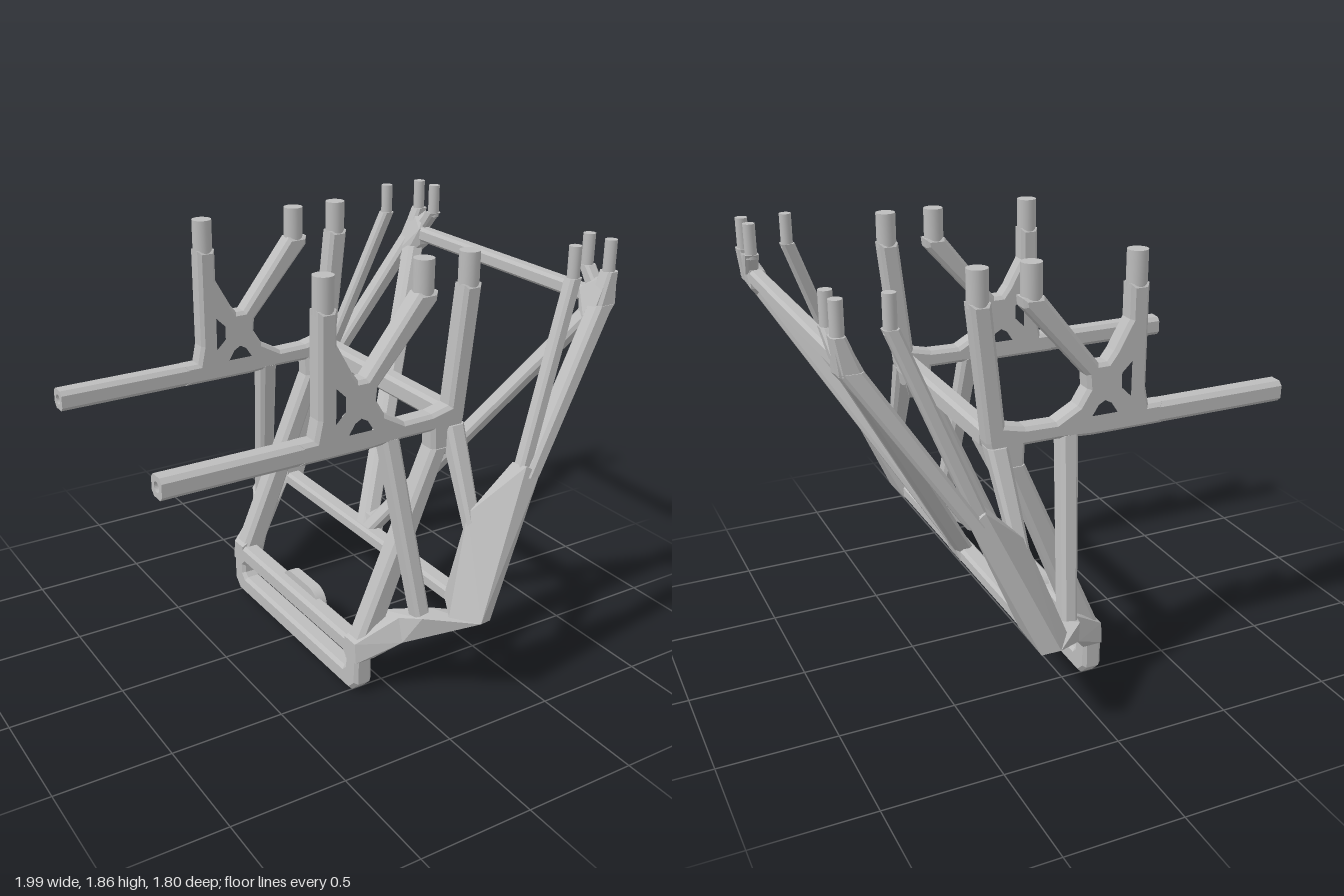
import * as THREE from 'three';
import { ConvexGeometry } from 'three/addons/geometries/ConvexGeometry.js';

const V = (x, y, z) => new THREE.Vector3(x, y, z);
const poly = (pts, Type = THREE.Shape) => new Type(pts.map(p => new THREE.Vector2(...p)));

// chamfered rectangle of half sizes a and b
function chamfered(a, b, c = Math.min(a, b) * 0.4) {
  return [[a, b - c], [a - c, b], [c - a, b], [-a, b - c], [-a, c - b], [c - a, -b], [a - c, -b], [a, c - b]];
}

// eight-sided section around p: flat for upright members, facing z for cross bars
function ring(p, a, b, facing = 'y') {
  return chamfered(a, b).map(([u, v]) =>
    facing === 'y' ? V(p[0] + u, p[1], p[2] + v) : V(p[0] + u, p[1] + v, p[2]));
}

export function createModel() {
  const model = new THREE.Group();
  const grey = new THREE.MeshStandardMaterial({ color: 0xbcbcbc });
  grey.name = 'frame grey';

  const add = (name, geo, parent = model) => {
    const m = new THREE.Mesh(geo, grey);
    m.name = name;
    parent.add(m);
    return m;
  };
  const bevel = (depth, b) => ({
    depth: depth - 2 * b, bevelEnabled: true, bevelSegments: 1,
    bevelSize: b, bevelThickness: b, bevelOffset: -b,
  });

  // side plate: three upright arms above the rail
  const plate = poly([
    [-0.42, 1.13], [-0.42, 1.22], [-0.355, 1.22], [-0.338, 1.3], [-0.338, 1.73], [-0.257, 1.73],
    [-0.257, 1.59], [-0.19, 1.47], [-0.16, 1.43], [-0.122, 1.43], [0.115, 1.73],
    [0.205, 1.73], [0.2, 1.69], [-0.07, 1.385], [-0.075, 1.33], [-0.035, 1.265], [0.06, 1.212], [0.195, 1.215],
    [0.28, 1.235], [0.333, 1.73], [0.417, 1.73], [0.357, 1.17], [0.335, 1.07], [0.29, 1.02],
    [0.2, 1.03], [0.195, 1.14], [0.05, 1.14], [-0.1, 1.13],
  ]);
  plate.holes.push(
    poly([[-0.275, 1.44], [-0.207, 1.385], [-0.207, 1.31], [-0.275, 1.255]], THREE.Path),
    poly([[-0.225, 1.205], [-0.19, 1.27], [-0.15, 1.292], [-0.11, 1.27], [-0.075, 1.205]], THREE.Path),
  );
  const plateGeo = new THREE.ExtrudeGeometry(plate, bevel(0.09, 0.015));

  // hollow rail running back from the plate
  const railShape = poly(chamfered(0.045, 0.045));
  railShape.holes.push(new THREE.Path().absarc(0, 0, 0.022, 0, Math.PI * 2, true));
  const railGeo = new THREE.ExtrudeGeometry(railShape, { depth: 0.6, bevelEnabled: false });
  railGeo.rotateY(Math.PI / 2);

  for (const s of [1, -1]) {
    const side = new THREE.Group();
    side.name = s > 0 ? 'leftSide' : 'rightSide';
    model.add(side);
    const hull = (name, pts) => add(name, new ConvexGeometry(pts.map(p => V(p.x, p.y, p.z * s))), side);
    const strut = (name, p, q, a, b = a, c = a, d = b) => hull(name, [...ring(p, a, b), ...ring(q, c, d)]);
    const peg = (name, x, z, r) =>
      add(name, new THREE.CylinderGeometry(r, r, 0.15, 20), side).position.set(x, 1.785, s * z);

    add('sidePlate', plateGeo, side).position.z = s * 0.5 - 0.03;
    add('rail', railGeo, side).position.set(-1, 1.175, s * 0.5);
    for (const x of [-0.298, 0.155, 0.375]) peg('platePeg', x, 0.5, 0.043);

    // inner braces below the rail
    strut('uprightBrace', [0, 1.15, 0.5], [0.07, 0.38, 0.67], 0.04, 0.045, 0.034, 0.04);
    strut('diagonalBrace', [0.238, 1.06, 0.5], [-0.1, 0.24, 0.5], 0.042, 0.05, 0.058, 0.05);
    strut('outerBrace', [0.312, 1.15, 0.51], [0.29, 0.73, 0.72], 0.044, 0.045, 0.032, 0.032);
    hull('barGusset', [
      V(0.285, 1.215, 0.46), V(0.355, 1.215, 0.46), V(0.285, 1.135, 0.38), V(0.355, 1.135, 0.38),
      V(0.26, 1.01, 0.455), V(0.31, 1.01, 0.455), V(0.29, 1.135, 0.5),
    ]);

    // lower arm bending outward to the corner
    const bend = [V(0, 0.25, 0.52), V(0, 0.265, 0.65), V(0, 0.345, 0.49), V(0, 0.37, 0.62)];
    hull('lowerNode', [
      V(-0.165, 0.15, 0.47), V(-0.165, 0.16, 0.55), V(-0.165, 0.25, 0.46), V(-0.165, 0.25, 0.54),
      V(-0.075, 0.15, 0.45), V(-0.075, 0.16, 0.55), V(-0.09, 0.29, 0.46), V(-0.1, 0.29, 0.54), ...bend,
    ]);
    hull('lowerArm', [
      ...bend, V(0.04, 0.41, 0.73), V(0.12, 0.41, 0.67),
      V(0.21, 0.42, 0.9), V(0.275, 0.4, 0.86), V(0.24, 0.39, 0.73),
    ]);

    // tapered corner shell
    hull('cornerShell', [
      V(0.21, 0.42, 0.9), V(0.28, 0.4, 0.87), V(0.28, 0.41, 0.66), V(0.2, 0.44, 0.66), V(0.13, 0.42, 0.79),
      V(0.27, 0.82, 0.7), V(0.545, 0.98, 0.81), V(0.53, 1, 0.735), V(0.48, 1.02, 0.8), V(0.46, 1.02, 0.735),
    ]);

    // long forward struts
    strut('innerStrut', [0.48, 0.97, 0.765], [0.772, 1.73, 0.665], 0.031, 0.03, 0.03, 0.03);
    strut('outerStrut', [0.515, 0.97, 0.773], [0.928, 1.6, 0.673], 0.037, 0.043, 0.046, 0.04);
    strut('strutTip', [0.928, 1.59, 0.672], [0.965, 1.73, 0.665], 0.046, 0.038, 0.028, 0.034);
    hull('topNode', [
      V(0.83, 1.49, 0.7), V(0.9, 1.49, 0.705), V(0.85, 1.49, 0.63), V(0.9, 1.49, 0.62),
      V(0.9, 1.645, 0.57), V(0.965, 1.65, 0.57), V(0.965, 1.57, 0.57), V(0.91, 1.57, 0.57),
      V(0.94, 1.725, 0.69), V(0.985, 1.725, 0.69), V(0.985, 1.725, 0.64), V(0.975, 1.6, 0.705),
    ]);
    strut('pegBracket', [0.95, 1.63, 0.625], [0.96, 1.73, 0.54], 0.027, 0.038, 0.03, 0.03);
    peg('innerPeg', 0.772, 0.665, 0.026);
    peg('outerPeg', 0.962, 0.665, 0.026);
    peg('bracketPeg', 0.96, 0.54, 0.026);

    // one half of the front V brace
    strut('frontBrace', [0.25, 0.45, 0.01], [0.91, 1.56, 0.63], 0.042, 0.042);
  }

  // cross bars
  const bar = (name, x, y, half, a, b) =>
    add(name, new ConvexGeometry([...ring([x, y, -half], a, b, 'z'), ...ring([x, y, half], a, b, 'z')]));
  bar('topBar', 0.935, 1.618, 0.6, 0.032, 0.033);
  bar('middleBar', 0.32, 1.175, 0.47, 0.04, 0.045);
  bar('lowerBar', 0.242, 0.44, 0.7, 0.04, 0.033);
  const foot = [];
  for (const s of [1, -1]) {
    foot.push(V(0.22, 0.42, 0.07 * s), V(0.285, 0.42, 0.07 * s), V(0.25, 0.52, 0.025 * s), V(0.32, 0.53, 0.025 * s));
  }
  add('braceFoot', new ConvexGeometry(foot));

  // bottom loop with a long slot
  const loop = poly([
    [-0.5, 0], [0.5, 0], [0.55, 0.05], [0.55, 0.2], [0.5, 0.25],
    [-0.5, 0.25], [-0.55, 0.2], [-0.55, 0.05],
  ]);
  loop.holes.push(poly([
    [-0.44, 0.09], [-0.46, 0.11], [-0.46, 0.145], [-0.44, 0.165],
    [0.44, 0.165], [0.46, 0.145], [0.46, 0.11], [0.44, 0.09],
  ], THREE.Path));
  const loopGeo = new THREE.ExtrudeGeometry(loop, bevel(0.085, 0.015));
  add('bottomLoop', loopGeo.rotateY(Math.PI / 2)).position.x = -0.15;

  // rounded lug plate with two holes
  const lug = new THREE.Shape();
  lug.absarc(0.077, 0, 0.077, -Math.PI / 2, Math.PI / 2, false);
  lug.absarc(-0.077, 0, 0.077, Math.PI / 2, Math.PI * 1.5, false);
  for (const x of [0.088, -0.088]) lug.holes.push(new THREE.Path().absarc(x, 0, 0.035, 0, Math.PI * 2, true));
  const lugGeo = new THREE.ExtrudeGeometry(lug, { depth: 0.05, bevelEnabled: false, curveSegments: 20 });
  add('lugPlate', lugGeo.rotateY(Math.PI / 2)).position.set(-0.115, 0.207, 0);

  return model;
}
